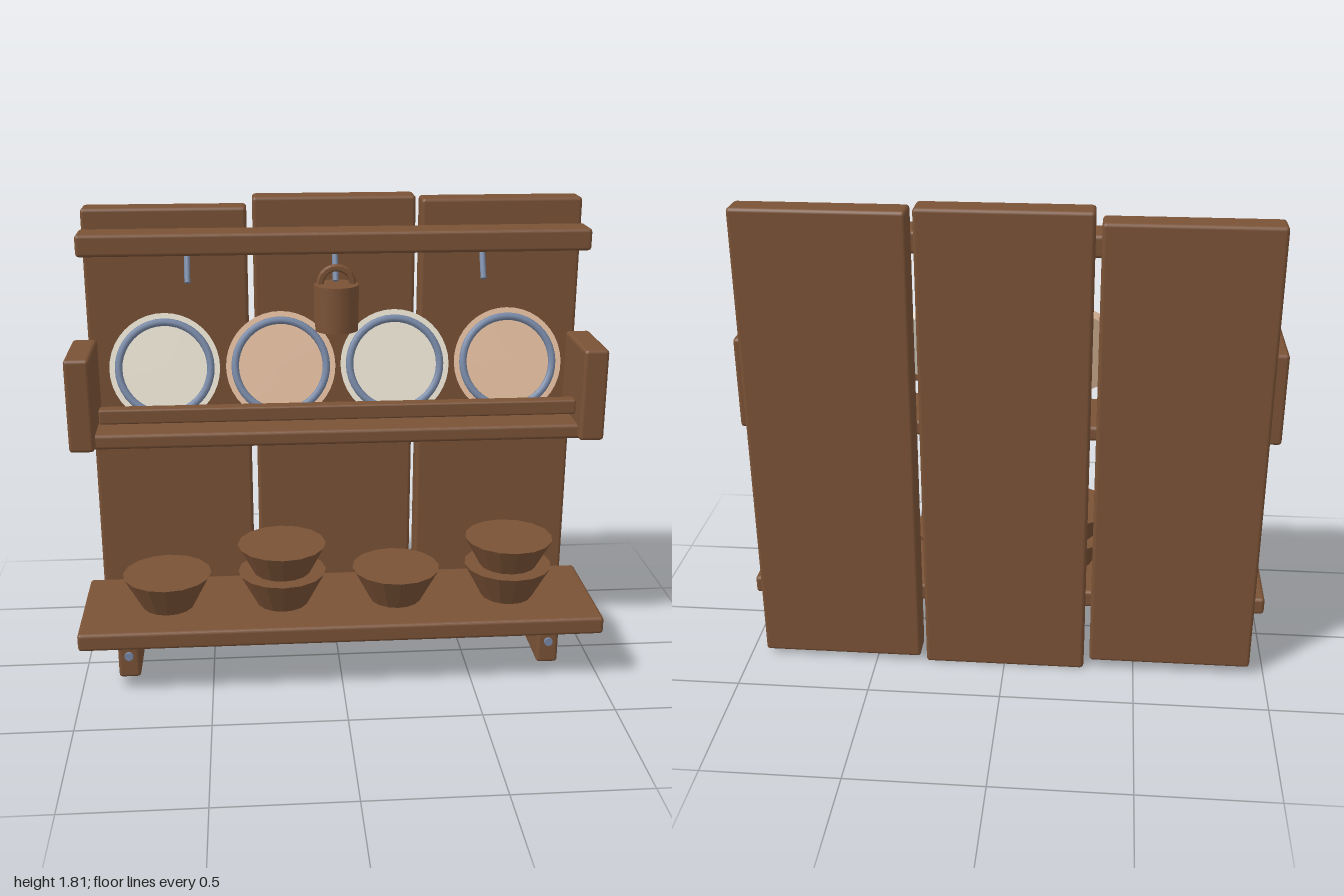
import * as THREE from 'three';
import { RoundedBoxGeometry } from 'three/addons/geometries/RoundedBoxGeometry.js';

const mat = (name, color) => Object.assign(new THREE.MeshStandardMaterial({ color }), { name });

export function createModel() {
  const root = new THREE.Group();
  root.name = 'wallShelf';
  const wood = mat('brown wood', 0x7a5236);
  const turnedWood = wood.clone(); // same brown, faceted
  turnedWood.flatShading = true;
  const cream = mat('cream glaze', 0xe6dfcf);
  const peach = mat('peach glaze', 0xdfba9c);
  const metal = mat('blue grey', 0x7788a6);

  const add = (name, geometry, material, x = 0, y = 0, z = 0, parent = root) => {
    const mesh = new THREE.Mesh(geometry, material);
    mesh.name = name;
    mesh.position.set(x, y, z);
    parent.add(mesh);
    return mesh;
  };
  // Softened board given by its limits on each axis
  const board = (name, [x0, x1], [y0, y1], [z0, z1], r = 0.014) =>
    add(name, new RoundedBoxGeometry(x1 - x0, y1 - y0, z1 - z0, 2, r), wood,
      (x0 + x1) / 2, (y0 + y1) / 2, (z0 + z1) / 2);

  // Back planks of uneven length
  board('leftBackPlank', [0.327, 0.94], [0.02, 1.8], [-0.3, -0.19]);
  board('middleBackPlank', [-0.308, 0.305], [0, 1.813], [-0.3, -0.19]);
  board('rightBackPlank', [-0.943, -0.33], [0.04, 1.777], [-0.3, -0.19]);

  // Rail with hooks
  board('hookRail', [-0.953, 0.95], [1.62, 1.703], [-0.192, -0.056]);
  for (const x of [-0.553, -0.005, 0.55]) {
    const hook = add('hook', new THREE.CylinderGeometry(0.011, 0.011, 0.14, 8), metal, x, 1.58, -0.112);
    hook.rotation.x = -0.48;
  }

  // Hanging mug with its handle upward
  const mug = new THREE.Group();
  mug.name = 'mug';
  mug.position.set(-0.003, 1.42, -0.075);
  root.add(mug);
  add('mugBody', new THREE.CylinderGeometry(0.084, 0.084, 0.172, 20), wood, 0, 0, 0, mug);
  add('mugHandle', new THREE.TorusGeometry(0.06, 0.014, 6, 10, Math.PI), turnedWood, 0, 0.088, 0, mug);

  // Plate rack
  board('plateShelf', [-0.93, 0.93], [0.927, 0.985], [-0.192, 0.078]);
  board('plateRail', [-0.885, 0.882], [1.037, 1.093], [0.06, 0.112], 0.008);
  board('rackEndRight', [-1, -0.907], [0.932, 1.285], [-0.185, 0.12]);
  board('rackEndLeft', [0.902, 0.995], [0.932, 1.285], [-0.185, 0.12]);

  // Plates leaning back, with a ring around a coloured centre
  [-0.645, -0.215, 0.212, 0.64].forEach((x, i) => {
    const plate = new THREE.Group();
    plate.name = 'plate';
    plate.position.set(x, 1.21, -0.022);
    plate.rotation.x = -0.3;
    root.add(plate);
    const glaze = i % 2 ? peach : cream;
    const body = add('plateBody', new THREE.CylinderGeometry(0.204, 0.19, 0.024, 40), glaze, 0, 0, 0, plate);
    body.rotation.x = Math.PI / 2;
    add('plateRing', new THREE.TorusGeometry(0.17, 0.014, 8, 40), metal, 0, 0, 0.013, plate);
  });

  // Lower shelf on screwed brackets
  board('lowerShelf', [-0.995, 0.995], [0.21, 0.28], [-0.187, 0.3]);
  for (const x of [-0.823, 0.819]) {
    board('shelfBracket', [x - 0.042, x + 0.042], [0.015, 0.213], [-0.185, 0.155]);
    const screw = add('screw', new THREE.CylinderGeometry(0.017, 0.017, 0.02, 10), metal, x, 0.11, 0.156);
    screw.rotation.x = Math.PI / 2;
  }

  // Bowls, single and stacked
  [[-0.668, 1], [-0.224, 2], [0.22, 1], [0.662, 2]].forEach(([x, count]) => {
    for (let i = 0; i < count; i++) {
      add('bowl', new THREE.CylinderGeometry(0.17, 0.1, 0.133, 16), turnedWood, x, 0.346 + i * 0.112, 0.06);
    }
  });

  return root;
}
